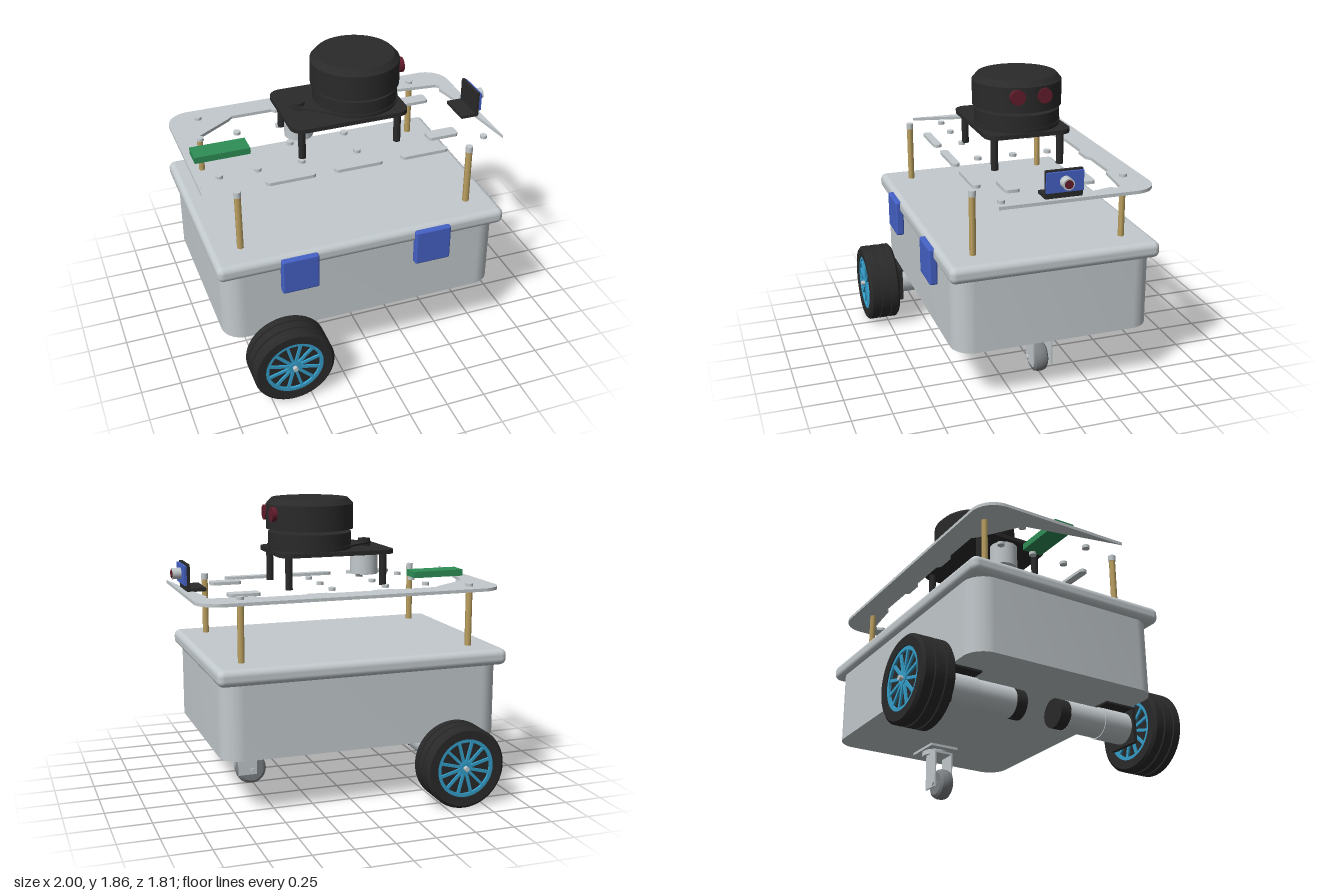
import * as THREE from 'three';
import { toCreasedNormals } from 'three/addons/utils/BufferGeometryUtils.js';
import { RoundedBoxGeometry } from 'three/addons/geometries/RoundedBoxGeometry.js';

const mat = (name, color) => Object.assign(new THREE.MeshStandardMaterial({ color }), { name });

export function createModel() {
  const root = new THREE.Group();
  root.name = 'wheeledRobot';
  const grey = mat('light grey', 0xc3cacd), black = mat('black', 0x2a2a2a), blue = mat('blue', 0x4561c6),
    cyan = mat('rim blue', 0x349fcb), gold = mat('brass', 0xc0a462), green = mat('board green', 0x2f8f57),
    red = mat('dark red', 0x621c2b), rubber = mat('caster grey', 0x7b7f82);

  const add = (name, geo, m, x = 0, y = 0, z = 0, parent = root) => {
    const mesh = new THREE.Mesh(geo, m);
    mesh.name = name;
    mesh.position.set(x, y, z);
    parent.add(mesh);
    return mesh;
  };
  // box given by its limits
  const box = (name, m, x0, x1, y0, y1, z0, z1, r = 0) => {
    const s = [x1 - x0, y1 - y0, z1 - z0];
    return add(name, r ? new RoundedBoxGeometry(...s, 4, r) : new THREE.BoxGeometry(...s), m,
      (x0 + x1) / 2, (y0 + y1) / 2, (z0 + z1) / 2);
  };
  const cylY = (name, m, x, y0, y1, z, r, n = 24) =>
    add(name, new THREE.CylinderGeometry(r, r, y1 - y0, n), m, x, (y0 + y1) / 2, z);
  const cylZ = (name, m, x, y, z0, z1, r, n = 32) =>
    add(name, new THREE.CylinderGeometry(r, r, Math.abs(z1 - z0), n).rotateX(Math.PI / 2), m, x, y, (z0 + z1) / 2);
  const cylX = (name, m, x0, x1, y, z, r) =>
    add(name, new THREE.CylinderGeometry(r, r, x1 - x0, 24).rotateZ(Math.PI / 2), m, (x0 + x1) / 2, y, z);
  // plan outline (x, z) extruded from y0 to y1
  const slab = (name, m, shape, y0, y1) => {
    const g = new THREE.ExtrudeGeometry(shape, { depth: y1 - y0, bevelEnabled: false, curveSegments: 12 });
    return add(name, toCreasedNormals(g.rotateX(Math.PI / 2), 0.6), m, 0, y1, 0);
  };
  const roundRect = (x0, x1, z0, z1, r) => {
    const s = new THREE.Shape();
    s.absarc(x1 - r, z1 - r, r, 0, Math.PI / 2);
    s.absarc(x0 + r, z1 - r, r, Math.PI / 2, Math.PI);
    s.absarc(x0 + r, z0 + r, r, Math.PI, Math.PI * 1.5);
    s.absarc(x1 - r, z0 + r, r, Math.PI * 1.5, Math.PI * 2);
    return s;
  };
  const lathe = (pts, n = 48) => toCreasedNormals(
    new THREE.LatheGeometry(pts.map(p => new THREE.Vector2(...p)), n), 0.5);

  // container, lid and clips
  slab('containerBody', grey, roundRect(-0.963, 0.84, -0.63, 0.63, 0.13), 0.365, 0.85);
  box('containerLid', grey, -0.995, 0.87, 0.825, 0.928, -0.66, 0.66, 0.04);
  for (const x of [-0.61, 0.255]) box('lidClip', blue, x, x + 0.234, 0.674, 0.91, 0.635, 0.688, 0.012);

  // drive wheels, motors and brackets
  const tyre = lathe([[0, -0.08], [0.183, -0.08], [0.185, -0.1], [0.24, -0.103], [0.257, -0.088],
    [0.257, -0.042], [0.247, -0.04], [0.247, -0.028], [0.257, -0.026], [0.257, 0.026], [0.247, 0.028],
    [0.247, 0.04], [0.257, 0.042], [0.257, 0.088], [0.24, 0.103], [0.185, 0.1], [0.183, 0.08], [0, 0.08]], 64)
    .rotateX(Math.PI / 2);
  const rimShape = new THREE.Shape().absarc(0, 0, 0.185, 0, Math.PI * 2);
  rimShape.holes.push(new THREE.Path().absarc(0, 0, 0.163, 0, Math.PI * 2));
  const rim = new THREE.ExtrudeGeometry(rimShape, { depth: 0.19, bevelEnabled: false, curveSegments: 32 })
    .translate(0, 0, -0.095);
  const X = -0.61, Y = 0.257;
  for (const s of [1, -1]) {
    const wheel = new THREE.Group();
    wheel.name = s > 0 ? 'frontDriveWheel' : 'backDriveWheel';
    wheel.position.set(X, Y, s * 0.786);
    root.add(wheel);
    add('tyre', tyre, black, 0, 0, 0, wheel);
    add('rim', rim, cyan, 0, 0, 0, wheel);
    for (let i = 0; i < 12; i++) {
      const a = (i + 0.5) * Math.PI / 6;
      const spoke = add('spoke', new THREE.BoxGeometry(0.15, 0.018, 0.184), cyan,
        Math.cos(a) * 0.095, Math.sin(a) * 0.095, 0, wheel);
      spoke.rotation.z = a;
    }
    add('hub', new THREE.CylinderGeometry(0.036, 0.036, 0.192, 24).rotateX(Math.PI / 2), cyan, 0, 0, 0, wheel);
    cylZ('axle', grey, X, Y, s * 0.6, s * 0.905, 0.015, 16);
    cylZ('axleCoupling', gold, X, Y, s * 0.64, s * 0.7, 0.048, 6);
    cylZ('gearbox', grey, X, Y, s * 0.437, s * 0.635, 0.098);
    cylZ('motor', grey, X, Y, s * 0.19, s * 0.437, 0.092);
    cylZ('motorCap', black, X, Y, s * 0.118, s * 0.197, 0.09);
    const [a, b] = s > 0 ? [0.632, 0.655] : [-0.655, -0.632];
    box('motorBracketFace', black, X - 0.11, X + 0.11, 0.14, 0.365, a, b);
    box('motorBracketTop', black, X - 0.11, X + 0.11, 0.353, 0.366, Math.min(s * 0.437, b), Math.max(s * 0.437, a));
  }

  // caster
  box('casterPlate', grey, 0.48, 0.73, 0.348, 0.368, -0.1, 0.1);
  cylY('casterSwivel', grey, 0.608, 0.315, 0.35, 0, 0.087);
  box('casterForkTop', grey, 0.487, 0.61, 0.308, 0.322, -0.066, 0.066);
  for (const z of [-0.066, 0.056]) box('casterFork', grey, 0.487, 0.61, 0.075, 0.32, z, z + 0.01);
  add('casterWheel', lathe([[0, -0.047], [0.075, -0.047], [0.093, -0.035], [0.1, -0.015], [0.1, 0.015],
    [0.093, 0.035], [0.075, 0.047], [0, 0.047]], 36).rotateX(Math.PI / 2), rubber, 0.513, 0.1, 0);
  cylZ('casterAxle', grey, 0.513, 0.1, -0.075, 0.075, 0.018, 16);

  // standoffs with bolts
  for (const x of [-0.805, 0.685]) for (const z of [-0.473, 0.473]) {
    cylY('standoff', gold, x, 0.92, 1.29, z, 0.021, 6);
    cylY('standoffBolt', grey, x, 1.29, 1.328, z, 0.023, 16);
  }

  // open deck with tapering arms
  const deck = new THREE.Shape();
  deck.moveTo(-1, 0.4);
  deck.lineTo(-1, -0.44);
  deck.absarc(-0.85, -0.44, 0.15, Math.PI, Math.PI * 1.5);
  deck.absarc(0.807, -0.44, 0.15, Math.PI * 1.5, Math.PI * 2);
  for (const [x, z] of [[0.957, 0.4], [0.87, -0.2], [0.845, -0.32], [0.865, -0.355], [0.845, -0.383],
    [0.57, -0.412], [0.55, -0.437], [0.27, -0.437], [0.25, -0.415], [0.13, -0.415], [0.11, -0.437],
    [-0.16, -0.437], [-0.18, -0.415], [-0.3, -0.415], [-0.32, -0.437], [-0.59, -0.437],
    [-0.615, -0.41], [-0.84, -0.26], [-0.87, -0.24]]) deck.lineTo(x, z);
  slab('deck', grey, deck, 1.29, 1.31);

  // loose pegs and bars level with the deck
  for (const x of [-0.85, -0.61, -0.33, 0.03]) for (const z of [-0.235, 0, 0.235])
    if (z || x > -0.8) cylY('deckPeg', grey, x, 1.29, 1.31, z, 0.023, 16);
  cylY('deckPeg', grey, 0.845, 1.29, 1.31, 0.35, 0.022, 16);
  for (const x of [-0.61, -0.18, 0.255]) slab('deckBar', grey, roundRect(x, x + 0.31, 0.378, 0.43, 0.025), 1.29, 1.31);
  for (const z of [-0.288, 0.185]) slab('deckBlock', grey, roundRect(0.505, 0.705, z, z + 0.09, 0.02), 1.29, 1.31);

  // circuit board
  box('circuitBoard', green, -0.957, -0.605, 1.31, 1.352, -0.069, 0.065);

  // scanner mount
  slab('scannerPlate', black, roundRect(-0.39, 0.37, -0.275, 0.275, 0.08), 1.508, 1.535);
  for (const x of [-0.32, 0.305]) for (const z of [-0.213, 0.213])
    cylY('scannerLeg', black, x, 1.305, 1.51, z, 0.023, 16);
  cylY('scannerMotor', grey, -0.272, 1.353, 1.51, 0, 0.09, 32);
  cylY('pulley', black, -0.272, 1.53, 1.582, 0, 0.04);
  const belt = new THREE.Shape();
  belt.absarc(0.1, 0, 0.272, -2.2, 2.2);
  belt.absarc(-0.272, 0, 0.045, 2.2, Math.PI * 2 - 2.2);
  slab('driveBelt', black, belt, 1.55, 1.562);

  // scanner base and rotating head
  cylY('scannerBase', black, 0.1, 1.535, 1.642, 0, 0.265, 64);
  add('scannerHead', lathe([[0, 1.663], [0.278, 1.663], [0.278, 1.82], [0.245, 1.856], [0, 1.856]], 64), black, 0.1);
  for (const s of [-1, 1]) {
    const lens = add('scannerLens', new THREE.CylinderGeometry(0.047, 0.047, 0.03, 32).rotateZ(Math.PI / 2),
      red, 0.1 + 0.266, 1.763, s * 0.085);
    lens.rotation.y = 0;
  }

  // camera
  box('cameraBracketBase', black, 0.805, 0.925, 1.308, 1.328, -0.113, 0.113);
  box('cameraBracketBack', black, 0.905, 0.925, 1.31, 1.477, -0.113, 0.113);
  box('cameraBoard', blue, 0.925, 0.941, 1.348, 1.468, -0.113, 0.113);
  cylX('cameraLens', grey, 0.94, 0.996, 1.41, 0, 0.035);
  cylX('cameraGlass', red, 0.994, 1.0, 1.41, 0, 0.026);

  return root;
}
